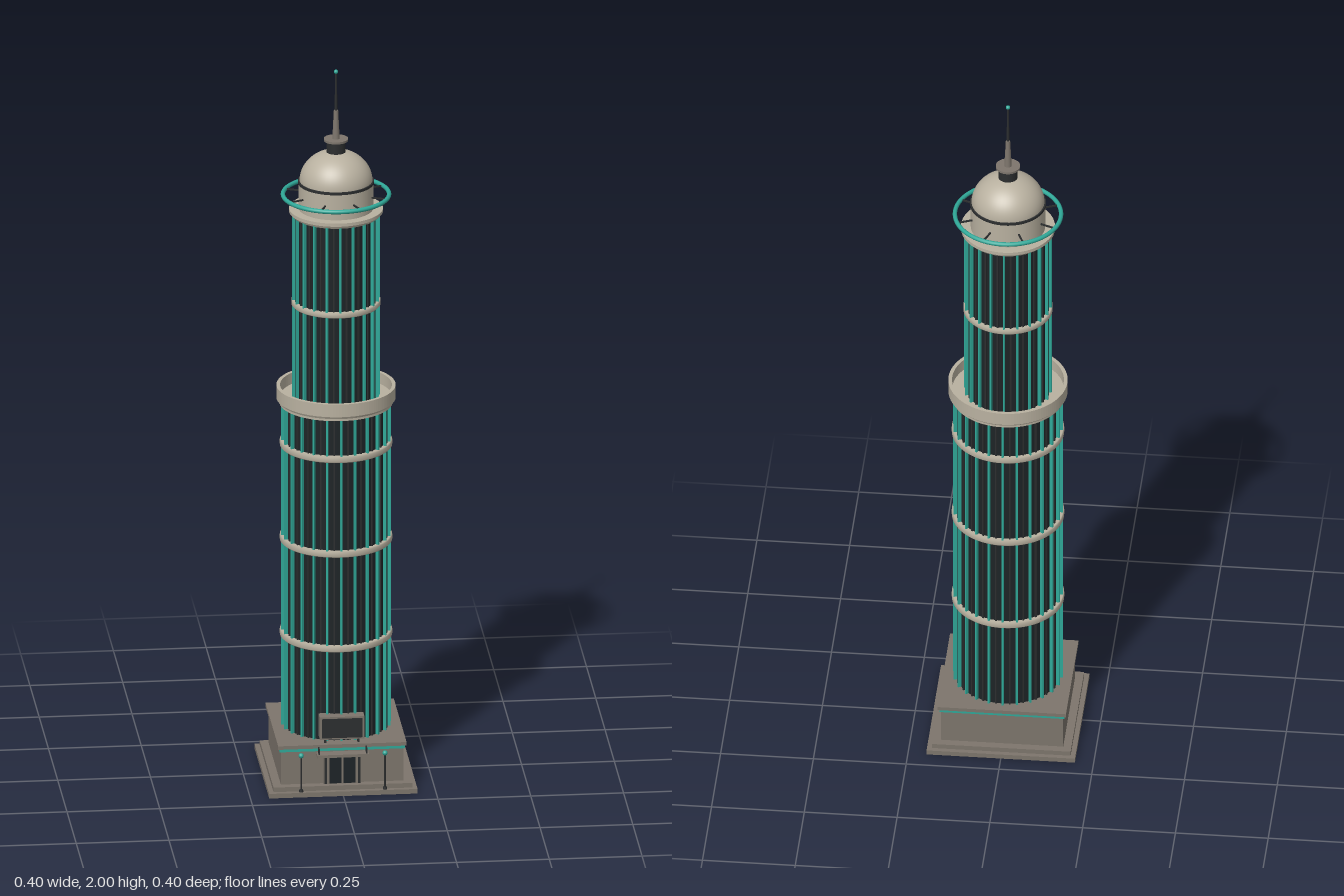
import * as THREE from 'three';

const mat = (name, color, side = THREE.FrontSide) => {
  const m = new THREE.MeshStandardMaterial({ color, side });
  m.name = name;
  return m;
};

export function createModel() {
  const stone = mat('pale stone', 0xb9b1a0);
  const granite = mat('grey granite', 0x7d756c);
  const teal = mat('teal metal', 0x2fa898);
  const glass = mat('dark glass', 0x1d2326);
  const iron = mat('dark iron', 0x2c2e2f);
  const tower = new THREE.Group();
  tower.name = 'tower';

  const add = (name, geo, material, x = 0, y = 0, z = 0, parent = tower) => {
    const mesh = new THREE.Mesh(geo, material);
    mesh.name = name;
    mesh.position.set(x, y, z);
    parent.add(mesh);
    return mesh;
  };
  // Boxes and cylinders are placed by their bottom and top heights
  const box = (name, w, y0, y1, d, material, x = 0, z = 0, parent = tower) =>
    add(name, new THREE.BoxGeometry(w, y1 - y0, d), material, x, (y0 + y1) / 2, z, parent);
  const cyl = (name, r0, r1, y0, y1, material, x = 0, z = 0, seg = 48) =>
    add(name, new THREE.CylinderGeometry(r1, r0, y1 - y0, seg), material, x, (y0 + y1) / 2, z);
  // Calls a builder for each angle with a group turned about the tower's axis
  const radial = (name, count, offset, build) => {
    for (let i = 0; i < count; i++) {
      const g = new THREE.Group();
      g.name = name;
      g.rotation.y = ((i + offset) / count) * Math.PI * 2;
      build(g);
      tower.add(g);
    }
  };

  // Square podium
  box('plinth', 0.4, 0, 0.013, 0.4, granite);
  box('plinthStep', 0.374, 0.013, 0.026, 0.374, granite);
  box('podium', 0.33, 0.026, 0.128, 0.33, granite);
  box('podiumStripe', 0.337, 0.119, 0.128, 0.337, teal);
  box('podiumCap', 0.346, 0.128, 0.138, 0.346, granite);

  // Entrance with paired doors and canopy
  box('doorFrame', 0.1, 0.026, 0.108, 0.01, granite, 0, 0.167);
  for (const s of [-1, 1]) {
    box('door', 0.032, 0.028, 0.1, 0.006, glass, s * 0.019, 0.172);
    box('doorJamb', 0.006, 0.026, 0.108, 0.012, iron, s * 0.045, 0.168);
    box('canopyBracket', 0.003, 0.116, 0.132, 0.02, iron, s * 0.064, 0.18);
    // Lamp posts
    cyl('lampBase', 0.006, 0.005, 0.013, 0.02, iron, s * 0.113, 0.192, 12);
    cyl('lampPost', 0.0025, 0.0025, 0.02, 0.112, iron, s * 0.113, 0.192, 8);
    add('lampGlobe', new THREE.SphereGeometry(0.007, 16, 10), teal, s * 0.113, 0.116, 0.192);
  }
  box('canopy', 0.14, 0.108, 0.116, 0.03, granite, 0, 0.18);

  // Plain sign board above the entrance
  box('signBox', 0.12, 0.15, 0.214, 0.034, granite, 0, 0.15);
  box('signPanel', 0.11, 0.155, 0.209, 0.004, iron, 0, 0.168);
  for (const s of [-1, 1]) box('signLeg', 0.006, 0.136, 0.152, 0.006, iron, s * 0.045, 0.155);

  // Glazed shafts with radial teal fins and slim mullions
  const shaft = (name, r, y0, y1, count) => {
    cyl(name + 'Glass', r, r, y0, y1, glass, 0, 0, 64);
    radial(name + 'Fin', count, 0, (g) => box('fin', 0.005, y0, y1, 0.016, teal, 0, r + 0.001, g));
    radial(name + 'Mullion', count, 0.5, (g) => box('mullion', 0.004, y0, y1, 0.008, iron, 0, r, g));
  };
  shaft('lowerShaft', 0.139, 0.138, 1.06, 24);
  shaft('upperShaft', 0.109, 1.06, 1.592, 20);

  // Stone bands, slightly rounded
  const band = (r, y, h) => {
    const b = 0.003;
    const pts = [[0.09, -h / 2], [r - b, -h / 2], [r, -h / 2 + b], [r, h / 2 - b], [r - b, h / 2], [0.09, h / 2]];
    add('stoneBand', new THREE.LatheGeometry(pts.map((p) => new THREE.Vector2(...p)), 64), stone, 0, y, 0)
      .geometry = new THREE.LatheGeometry(pts.map((p) => new THREE.Vector2(...p)), 64).toNonIndexed();
  };
  for (const y of [0.4, 0.67, 0.94]) band(0.151, y, 0.018);
  band(0.12, 1.34, 0.016);

  // Setback terrace with an open parapet
  cyl('terraceFloor', 0.152, 0.152, 1.052, 1.066, stone, 0, 0, 64);
  cyl('terraceLedge', 0.15, 0.158, 1.054, 1.07, stone, 0, 0, 64);
  const wall = new THREE.Shape().absarc(0, 0, 0.16, 0, Math.PI * 2);
  wall.holes.push(new THREE.Path().absarc(0, 0, 0.15, 0, Math.PI * 2, true));
  const parapet = new THREE.ExtrudeGeometry(wall, { depth: 0.036, bevelEnabled: false, curveSegments: 64 });
  parapet.rotateX(-Math.PI / 2);
  add('parapet', parapet, stone, 0, 1.066, 0);

  // Crown cornice and drum
  cyl('crownSoffit', 0.117, 0.122, 1.588, 1.597, stone, 0, 0, 64);
  cyl('crownCornice', 0.126, 0.126, 1.597, 1.606, stone, 0, 0, 64);
  cyl('drum', 0.1, 0.1, 1.606, 1.68, stone, 0, 0, 64);
  cyl('drumLine', 0.102, 0.102, 1.678, 1.685, iron, 0, 0, 64);

  // Halo ring on eight struts
  const halo = new THREE.TorusGeometry(0.1425, 0.006, 12, 64);
  halo.rotateX(Math.PI / 2);
  add('haloRing', halo, teal, 0, 1.645, 0);
  radial('haloStrut', 8, 0.5, (g) => box('strut', 0.004, 1.643, 1.647, 0.042, iron, 0, 0.119, g));

  // Dome
  const dome = new THREE.SphereGeometry(0.098, 48, 20, 0, Math.PI * 2, 0, Math.PI / 2);
  dome.scale(1, 0.87, 1);
  add('dome', dome, stone, 0, 1.684, 0);

  // Lantern, mast and beacon
  cyl('lantern', 0.026, 0.026, 1.755, 1.798, iron, 0, 0, 24);
  cyl('lanternCap', 0.033, 0.033, 1.798, 1.804, granite, 0, 0, 32);
  cyl('mastFoot', 0.01, 0.006, 1.804, 1.885, granite, 0, 0, 16);
  cyl('mast', 0.004, 0.0025, 1.885, 1.99, iron, 0, 0, 12);
  add('beacon', new THREE.SphereGeometry(0.006, 16, 10), teal, 0, 1.994, 0);
  return tower;
}
